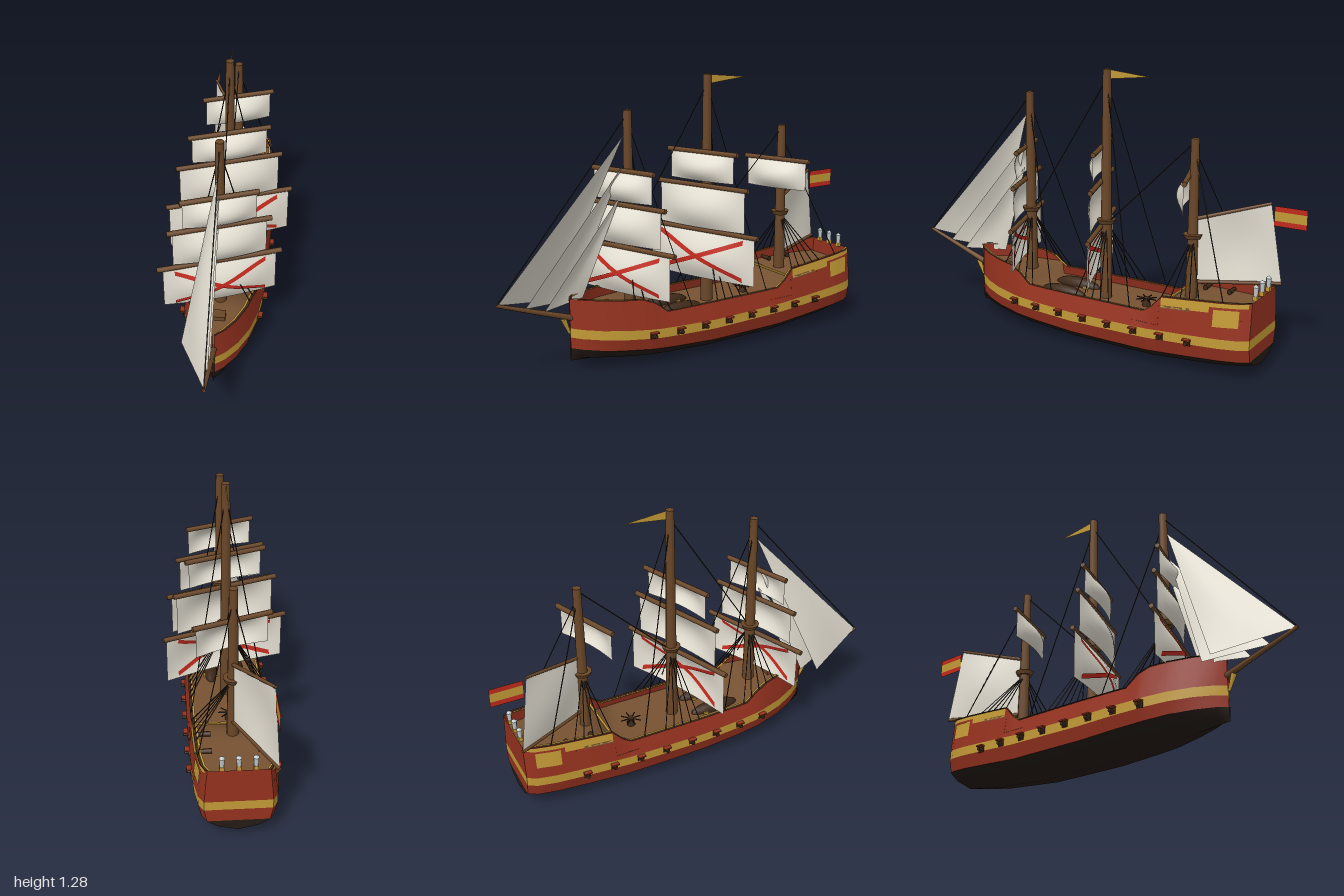
import * as THREE from 'three';

const mat = (name, color, side = THREE.DoubleSide) => {
  const m = new THREE.MeshStandardMaterial({ color, side });
  m.name = name;
  return m;
};

// Piecewise-linear lookup in a short list of [z, value], z descending
const look = (table, z) => {
  for (let i = 1; i < table.length; i++) {
    const [z0, a] = table[i - 1], [z1, b] = table[i];
    if (z >= z1) return a + (b - a) * Math.min(1, Math.max(0, (z0 - z) / (z0 - z1)));
  }
  return table[table.length - 1][1];
};
const mix = (a, b, t) => a + (b - a) * t;

// Hull lines along z
const WIDTH = [[0.66, 0.004], [0.62, 0.05], [0.55, 0.1], [0.45, 0.145], [0.33, 0.175], [0.2, 0.188], [0, 0.195],
  [-0.3, 0.195], [-0.6, 0.189], [-0.75, 0.182], [-0.84, 0.168], [-0.88, 0.145]];
const KEEL = [[0.66, 0.05], [0.5, 0.035], [0.3, 0.015], [0, 0], [-0.4, 0], [-0.7, 0.025], [-0.88, 0.05]];
const WATER = [[0.66, 0.11], [0.3, 0.08], [0, 0.065], [-0.4, 0.065], [-0.88, 0.1]];
const STRIPE = [[0.66, 0.16], [0.3, 0.135], [0, 0.125], [-0.4, 0.13], [-0.88, 0.16]];
const SHEER = [[0.66, 0.34], [0.37, 0.32], [0.31, 0.295], [0.25, 0.248], [-0.38, 0.248], [-0.42, 0.275],
  [-0.47, 0.33], [-0.88, 0.365]];
const STATIONS = [...new Set([WIDTH, KEEL, SHEER].flat().map(p => p[0]))].sort((a, b) => b - a);

// Half section of the hull: keel, bilge, waterline, stripe bottom, stripe top, rail
const section = z => {
  const w = look(WIDTH, z), k = look(KEEL, z), s = look(STRIPE, z);
  return [[0, k], [0.6 * w, k + 0.02], [0.92 * w, look(WATER, z)], [w, s], [w, s + 0.043], [0.9 * w, look(SHEER, z)]];
};
const hullX = (z, y) => {
  const [, , , , a, b] = section(z);
  return mix(a[0], b[0], (y - a[1]) / (b[1] - a[1]));
};

export function createModel() {
  const red = mat('hull red', 0x96321f), gold = mat('gold', 0xc39a36), black = mat('tarred black', 0x241b15);
  const wood = mat('spar wood', 0x6a4728), deckMat = mat('deck wood', 0x775232), dark = mat('dark wood', 0x3d2818);
  const canvas = mat('canvas', 0xe4dfd2), bright = mat('bright red', 0xc22a1e), glass = mat('lantern glass', 0xc4cccc);
  const model = new THREE.Group();
  const V = (x, y, z) => new THREE.Vector3(x, y, z);

  const add = (name, geo, material, x = 0, y = 0, z = 0, parent = model) => {
    const m = new THREE.Mesh(geo, material);
    m.name = name;
    m.position.set(x, y, z);
    parent.add(m);
    return m;
  };
  // Surface from a rule f(i, j) -> [x, y, z]
  const grid = (name, f, nu, nv, material, parent = model) => {
    const pos = [], idx = [], n = nv + 1;
    for (let i = 0; i <= nu; i++) for (let j = 0; j <= nv; j++) pos.push(...f(i, j));
    for (let i = 0; i < nu; i++) for (let j = 0; j < nv; j++) {
      const a = i * n + j;
      idx.push(a, a + n, a + 1, a + 1, a + n, a + n + 1);
    }
    const g = new THREE.BufferGeometry();
    g.setAttribute('position', new THREE.Float32BufferAttribute(pos, 3));
    g.setIndex(idx);
    g.computeVertexNormals();
    return add(name, g, material, 0, 0, 0, parent);
  };
  // Round bar between two points
  const bar = (name, a, b, r0, r1, material, sides = 8, parent = model) => {
    const d = b.clone().sub(a), c = a.clone().add(b).multiplyScalar(0.5);
    const m = add(name, new THREE.CylinderGeometry(r1, r0, d.length(), sides), material, c.x, c.y, c.z, parent);
    m.quaternion.setFromUnitVectors(V(0, 1, 0), d.normalize());
    return m;
  };
  const rope = (a, b) => bar('rope', a, b, 0.0025, 0.0025, black, 4);

  // Hull planking and transom in colour bands
  const bands = [['bottom', 0, 2, black], ['lower side', 2, 1, red], ['gold stripe', 3, 1, gold], ['upper side', 4, 1, red]];
  for (const [name, row, rows, m] of bands) {
    for (const s of [1, -1]) grid(name, (i, j) => {
      const [x, y] = section(STATIONS[i])[row + j];
      return [s * x, y, STATIONS[i]];
    }, STATIONS.length - 1, rows, m);
    grid('transom ' + name, (i, j) => {
      const [x, y] = section(-0.88)[row + i];
      return [(j * 2 - 1) * x, y, -0.88];
    }, rows, 1, m);
  }

  // Stepped deck with bulkheads
  const deckLine = [[0.655, 0.27], [0.62, 0.27], [0.55, 0.27], [0.45, 0.27], [0.28, 0.27], [0.28, 0.2], [0, 0.2],
    [-0.3, 0.2], [-0.46, 0.2], [-0.46, 0.29], [-0.6, 0.29], [-0.75, 0.29], [-0.84, 0.29], [-0.878, 0.29]];
  grid('deck', (i, j) => {
    const [z, y] = deckLine[i];
    return [(j * 2 - 1) * hullX(z, Math.min(y, look(SHEER, z))), y, z];
  }, deckLine.length - 1, 1, deckMat);
  add('quarterdeck edge', new THREE.BoxGeometry(0.33, 0.008, 0.01), gold, 0, 0.292, -0.46);

  // Rails, gilded quarter trim and galleries
  for (const s of [1, -1]) {
    const ribbon = (name, x0, x1, dy, m) => grid(name, (i, j) => {
      const z = STATIONS[i];
      return [s * Math.max(0, 0.9 * look(WIDTH, z) + (j ? x1 : x0)), look(SHEER, z) + dy, z];
    }, STATIONS.length - 1, 1, m);
    ribbon('rail', 0.005, -0.008, 0.003, dark);
    ribbon('gilded inner rail', -0.008, -0.016, 0.002, gold);
    const panel = (name, z0, z1, low, high, m) => grid(name, (i, j) => {
      const z = mix(z0, z1, i / 4), y = look(SHEER, z) - (j ? high : low);
      return [s * (hullX(z, y) + 0.004), y, z];
    }, 4, 1, m);
    panel('quarter trim', -0.47, -0.7, 0.045, 0.002, gold);
    panel('trim shadow panel', -0.47, -0.61, 0.05, 0.036, deckMat);
    panel('quarter trim', -0.7, -0.87, 0.02, 0.002, gold);
    panel('quarter gallery', -0.72, -0.835, 0.105, 0.03, gold);

    // Gun ports
    for (let i = 0; i < 8; i++) {
      const z = 0.33 - i * 0.134, x = look(WIDTH, z);
      add('gun port lid', new THREE.BoxGeometry(0.022, 0.006, 0.036), red, s * (x + 0.01), 0.166, z);
      add('gun port', new THREE.BoxGeometry(0.008, 0.026, 0.032), dark, s * x, 0.15, z);
      bar('gun barrel', V(s * (x - 0.01), 0.15, z), V(s * (x + 0.022), 0.15, z), 0.01, 0.009, dark);
    }
    for (const z of [-0.55, -0.67]) bar('deck gun', V(s * 0.1, 0.305, z), V(s * 0.16, 0.305, z), 0.012, 0.009, dark);

    // Ship's boat lying keel up
    const boat = add('boat', new THREE.SphereGeometry(1, 14, 6, 0, Math.PI * 2, 0, Math.PI / 2), dark, s * 0.065, 0.202, 0.12);
    boat.scale.set(0.034, 0.04, 0.125);
    add('boat cradle', new THREE.BoxGeometry(0.07, 0.012, 0.02), gold, s * 0.065, 0.206, 0.06);
  }

  // Deck fittings
  add('capstan', new THREE.CylinderGeometry(0.015, 0.02, 0.04, 10), dark, 0, 0.22, -0.3);
  for (let i = 0; i < 4; i++) {
    const a = i * Math.PI / 4, c = 0.05 * Math.cos(a), d = 0.05 * Math.sin(a);
    bar('capstan bar', V(c, 0.235, -0.3 + d), V(-c, 0.235, -0.3 - d), 0.003, 0.003, black, 5);
  }
  add('fore hatch', new THREE.BoxGeometry(0.07, 0.02, 0.05), wood, 0, 0.28, 0.47);
  for (const x of [-0.07, 0, 0.07]) {
    add('lantern base', new THREE.BoxGeometry(0.02, 0.02, 0.02), gold, x, 0.37, -0.868);
    add('lantern', new THREE.CylinderGeometry(0.013, 0.01, 0.04, 6), glass, x, 0.4, -0.868);
    add('lantern cap', new THREE.ConeGeometry(0.014, 0.012, 6), glass, x, 0.426, -0.868);
  }

  // Bowsprit and figurehead
  bar('bowsprit', V(0, 0.225, 0.58), V(0, 0.37, 1), 0.016, 0.008, wood);
  bar('figurehead', V(0, 0.18, 0.662), V(0, 0.25, 0.69), 0.006, 0.013, gold);

  // Square sail on its yard, with optional red saltire
  const squareSail = (parent, yardY, yardHalf, top, bottom, half, cross) => {
    bar('yard', V(-yardHalf, yardY, 0), V(yardHalf, yardY, 0), 0.012, 0.012, wood, 8, parent);
    const p = (u, v, off = 0) => [mix(-half, half, u), mix(bottom, top, v),
      0.004 + off + 0.05 * Math.sin(Math.PI * u) * Math.sin(Math.PI * (0.12 + 0.88 * v))];
    grid('square sail', (i, j) => p(i / 12, j / 8), 12, 8, canvas, parent);
    if (cross) for (const off of [0.004, -0.004]) for (const flip of [0, 1])
      grid('saltire arm', (i, j) => {
        const t = mix(0.1, 0.9, i / 16);
        return p(t, (flip ? 1 - t : t) + (j - 0.5) * 0.1, off);
      }, 16, 1, bright, parent);
  };

  // Masts: z, height, foot radius, sails as [yard y, yard half, top, bottom, sail half, cross]
  const c = 1 / Math.cos(0.35);
  const masts = [
    ['foremast', 0.35, 1.15, [[0.53, 0.27, 0.525, 0.32, 0.245, 1], [0.725, 0.222, 0.72, 0.55, 0.2], [0.88, 0.165, 0.875, 0.745, 0.155]]],
    ['mainmast', -0.08, 1.285, [[0.55, 0.292, 0.545, 0.32, 0.278, 1], [0.765, 0.24, 0.76, 0.565, 0.225], [0.925, 0.184, 0.92, 0.79, 0.167]]],
    ['mizzenmast', -0.53, 1.015, [[0.848, 0.17, 0.843, 0.705, 0.155]]],
  ];
  for (const [name, z, h, sails] of masts) {
    bar(name, V(0, 0.19, z), V(0, h, z), 0.029, 0.019, wood, 10);
    add('mast top', new THREE.CylinderGeometry(0.045, 0.036, 0.02, 10), wood, 0, 0.575, z);
    const rig = new THREE.Group();
    rig.name = name + ' sails';
    rig.position.set(0, 0, z + 0.026);
    rig.rotation.y = 0.35;
    model.add(rig);
    for (const [y, yh, top, bottom, half, cross] of sails) squareSail(rig, y, yh * c, top, bottom, half * c, cross);
    // Shrouds and backstays to the rails
    for (const s of [1, -1]) {
      for (let i = 0; i < 5; i++) {
        const e = z + 0.06 - i * 0.045;
        rope(V(0, 0.57, z), V(s * 0.9 * look(WIDTH, e), look(SHEER, e), e));
      }
      const e = z - 0.23;
      rope(V(0, h - 0.05, z), V(s * 0.9 * look(WIDTH, e), look(SHEER, e), e));
    }
  }

  // Stays
  rope(V(0, 1.12, 0.36), V(0, 0.37, 1));
  rope(V(0, 1.24, -0.08), V(0, 0.6, 0.33));
  rope(V(0, 0.99, -0.52), V(0, 0.58, -0.1));

  // Triangular headsails: tack, head and clew, bellied to one side
  const jib = (tack, head, clew) => grid('jib', (i, j) => {
    const u = i / 8, v = j / 6;
    const p = tack.clone().lerp(clew, v).lerp(head, u);
    p.x -= 0.03 * Math.sin(Math.PI * u) * Math.sin(Math.PI * v) * (1 - u);
    return p.toArray();
  }, 8, 6, canvas);
  jib(V(0, 0.37, 0.995), V(0, 1.04, 0.37), V(-0.14, 0.295, 0.67));
  jib(V(0, 0.33, 0.87), V(0, 0.9, 0.38), V(-0.1, 0.295, 0.6));
  jib(V(0, 0.3, 0.78), V(0, 0.78, 0.385), V(-0.06, 0.31, 0.56));

  // Spanker with gaff and boom
  const gaff = [V(0, 0.66, -0.55), V(-0.145, 0.735, -0.835)], boom = [V(0, 0.365, -0.55), V(-0.165, 0.37, -0.89)];
  bar('gaff', ...gaff, 0.009, 0.007, wood);
  bar('boom', ...boom, 0.009, 0.008, wood);
  grid('spanker', (i, j) => {
    const p = boom[0].clone().lerp(boom[1], i / 8).lerp(gaff[0].clone().lerp(gaff[1], i / 8), j / 6);
    p.x -= 0.02 * Math.sin(Math.PI * i / 8) * Math.sin(Math.PI * j / 6);
    return p.toArray();
  }, 8, 6, canvas);

  // Striped ensign and masthead pennant
  [[0.635, 0.659, bright], [0.659, 0.701, gold], [0.701, 0.725, bright]].forEach(([y0, y1, m]) =>
    grid('ensign stripe', (i, j) => [-0.145, j ? y1 : y0, -0.85 - 0.15 * i], 1, 1, m));
  grid('pennant', (i, j) => [0, i ? 1.262 : mix(1.24, 1.283, j), i ? -0.3 : -0.09], 1, 1, gold);

  return model;
}
